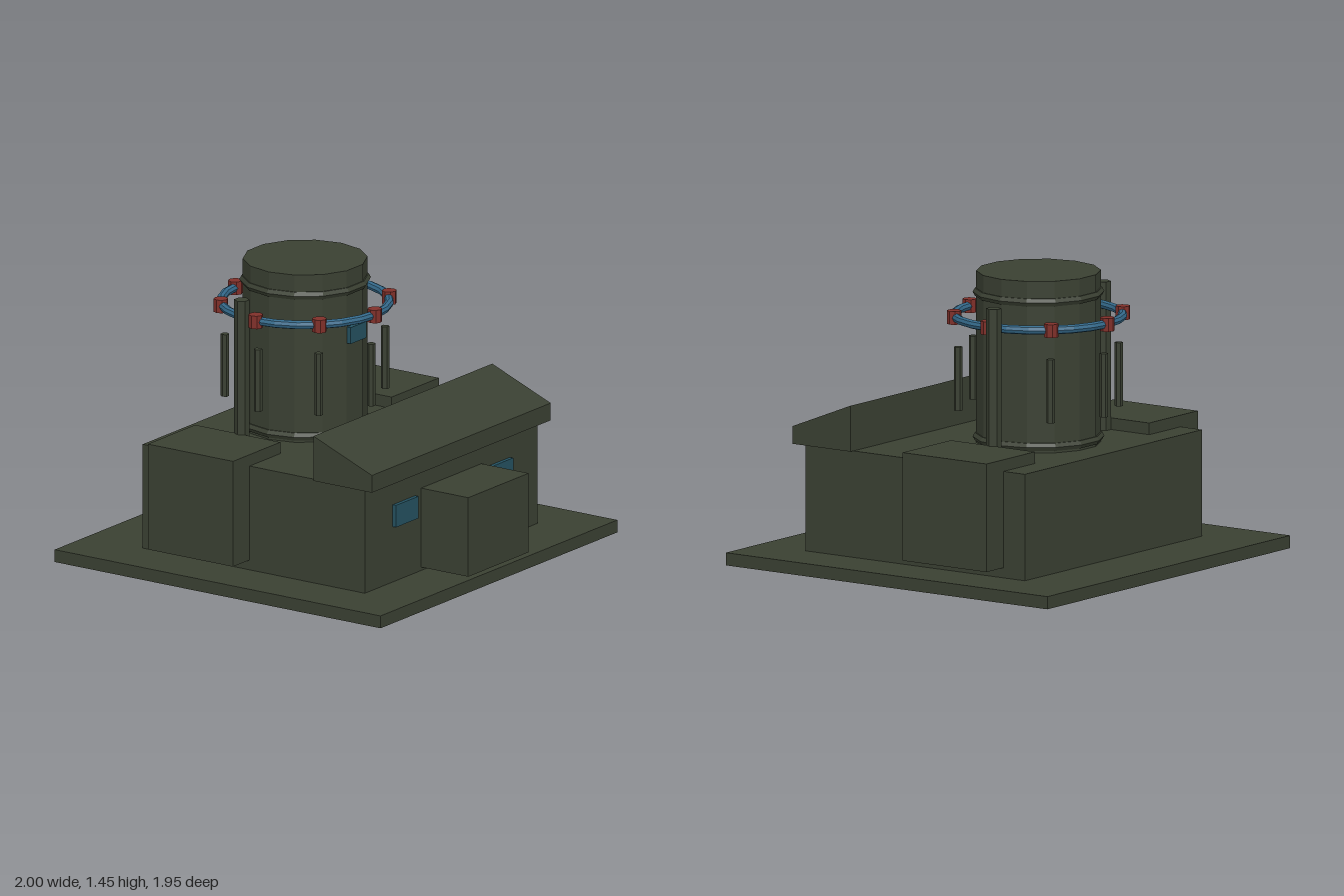
import * as THREE from 'three';

const mat = (name, color) => {
  const m = new THREE.MeshStandardMaterial({ color, flatShading: true });
  m.name = name;
  return m;
};

export function createModel() {
  const model = new THREE.Group();
  model.name = 'towerBuilding';
  const green = mat('darkOliveGreen', 0x3a4032);
  const glass = mat('windowTeal', 0x245160);
  const blue = mat('ringBlue', 0x34698a);
  const red = mat('jointRed', 0x80302a);

  const add = (name, geometry, material, x = 0, y = 0, z = 0) => {
    const mesh = new THREE.Mesh(geometry, material);
    mesh.name = name;
    mesh.position.set(x, y, z);
    model.add(mesh);
    return mesh;
  };
  // box given by its limits on each axis
  const box = (name, material, [x0, x1], [y0, y1], [z0, z1]) =>
    add(name, new THREE.BoxGeometry(x1 - x0, y1 - y0, z1 - z0), material,
      (x0 + x1) / 2, (y0 + y1) / 2, (z0 + z1) / 2);
  // upright prism with corners on the x axis
  const post = (name, material, r, y0, y1, sides, x, z) =>
    add(name, new THREE.CylinderGeometry(r, r, y1 - y0, sides).rotateY(Math.PI / 2),
      material, x, (y0 + y1) / 2, z);
  const hoop = (name, material, r, tube, sides, segments, y, z) =>
    add(name, new THREE.TorusGeometry(r, tube, sides, segments).rotateX(Math.PI / 2),
      material, 0, y, z);

  // ground slab, main block and porch
  box('baseSlab', green, [-1, 1], [0, 0.063], [-0.975, 0.975]);
  box('mainBlock', green, [-0.73, 0.73], [0.06, 0.592], [-0.64, 0.69]);
  box('porch', green, [-0.255, 0.255], [0.08, 0.483], [0.6, 0.972]);

  // sloping roof over the front
  const profile = new THREE.Shape([[0.4, 0.592], [0.75, 0.592], [0.75, 0.68], [0.4, 0.82]]
    .map(([z, y]) => new THREE.Vector2(-z, y)).reverse());
  const roof = new THREE.ExtrudeGeometry(profile, { depth: 1.51, bevelEnabled: false });
  roof.translate(0, 0, -0.755).rotateY(Math.PI / 2);
  add('frontRoof', roof, green);

  // side blocks, front windows and tall pipes
  for (const s of [-1, 1]) {
    const side = s > 0 ? 'left' : 'right';
    const span = (a, b) => (s > 0 ? [a, b] : [-b, -a]);
    box(side + 'SideBlock', green, span(0.47, 0.87), [0.113, 0.65], [-0.51, 0.0]);
    box(side + 'Window', glass, span(0.305, 0.495), [0.345, 0.457], [0.68, 0.71]);
    post(side + 'TallPipe', green, 0.038, 0.592, 1.33, 6, s * 0.45, -0.245);
  }

  // round tower with two collars and a window
  const cz = -0.185;
  post('tower', green, 0.305, 0.58, 1.445, 14, 0, cz);
  hoop('lowerCollar', green, 0.3, 0.022, 6, 14, 0.622, cz);
  hoop('upperCollar', green, 0.3, 0.022, 6, 14, 1.34, cz);
  box('towerWindow', glass, [-0.066, 0.066], [1.075, 1.158], [0.1, 0.135]);

  // ring around the tower, with its joints and hanging rods
  hoop('ring', blue, 0.413, 0.022, 8, 24, 1.224, cz);
  for (let i = 0; i < 8; i++) {
    const a = i * Math.PI / 4;
    const c = Math.cos(a), s = Math.sin(a);
    post('ringJoint', red, 0.036, 1.191, 1.257, 8, 0.417 * c, cz + 0.417 * s);
    post('rod', green, 0.021, 0.76, 1.076, 6, 0.397 * c, cz + 0.397 * s);
  }
  return model;
}
